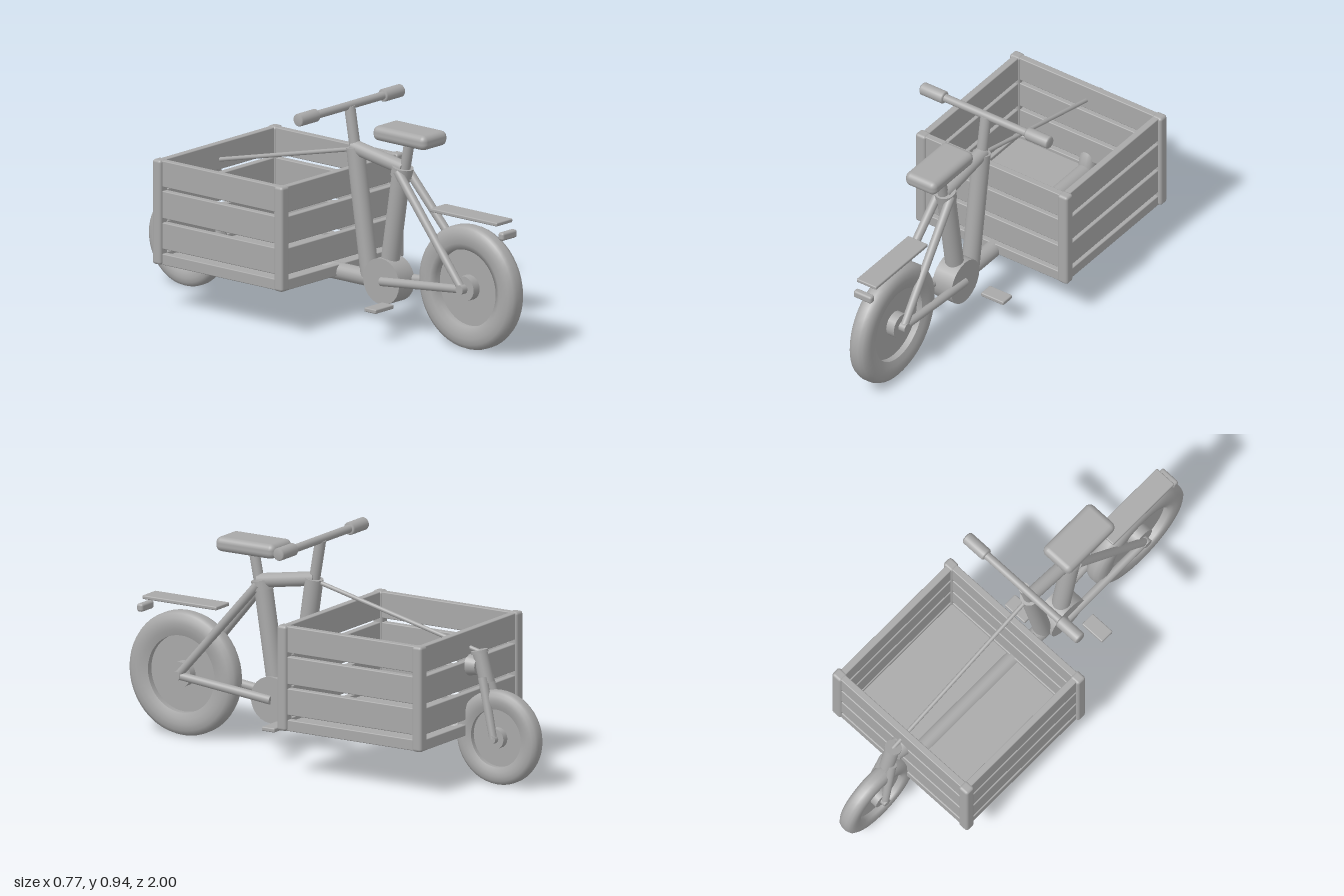
import * as THREE from 'three';
import { RoundedBoxGeometry } from 'three/addons/geometries/RoundedBoxGeometry.js';

export function createModel() {
  const model = new THREE.Group();
  model.name = 'cargoBike';
  const grey = new THREE.MeshStandardMaterial({ color: 0xa8a8a8 });
  grey.name = 'plainGrey';

  const add = (name, geometry, x = 0, y = 0, z = 0, parent = model) => {
    const mesh = new THREE.Mesh(geometry, grey);
    mesh.name = name;
    mesh.position.set(x, y, z);
    parent.add(mesh);
    return mesh;
  };
  const box = (name, w, h, d, x, y, z, radius = 0.006, parent = model) =>
    add(name, new RoundedBoxGeometry(w, h, d, 3, radius), x, y, z, parent);
  // Round bar between two points
  const bar = (name, from, to, rFrom, rTo = rFrom, parent = model) => {
    const a = new THREE.Vector3(...from), b = new THREE.Vector3(...to);
    const dir = b.clone().sub(a);
    const mesh = add(name, new THREE.CylinderGeometry(rTo, rFrom, dir.length(), 24), 0, 0, 0, parent);
    mesh.position.copy(a).add(b).multiplyScalar(0.5);
    mesh.quaternion.setFromUnitVectors(new THREE.Vector3(0, 1, 0), dir.normalize());
    return mesh;
  };

  // Wheels: closed tyre section, thin disc and hub, axle along x
  const wheel = (name, radius, inner, half, hub, z) => {
    const g = new THREE.Group();
    g.name = name;
    g.position.set(0, radius, z);
    const depth = radius - inner;
    const side = [[0, 0.74], [0.25, 0.93], [0.5, 1], [0.75, 0.93], [0.93, 0.68], [1, 0.3]]
      .map(([t, w]) => [inner + depth * t, half * w]);
    const profile = [
      ...side.map(([r, w]) => new THREE.Vector2(r, -w)),
      ...side.slice().reverse().map(([r, w]) => new THREE.Vector2(r, w)),
      new THREE.Vector2(side[0][0], -side[0][1]),
    ];
    add('tyre', new THREE.LatheGeometry(profile, 48), 0, 0, 0, g).rotation.z = Math.PI / 2;
    bar('wheelDisc', [-0.008, 0, 0], [0.008, 0, 0], inner + 0.002, inner + 0.002, g);
    bar('hub', [-half, 0, 0], [half, 0, 0], hub, hub, g);
    model.add(g);
  };
  wheel('driveWheel', 0.262, 0.163, 0.046, 0.053, 0.738);
  wheel('steeringWheel', 0.198, 0.122, 0.038, 0.043, -0.8);

  // Frame
  bar('seatTube', [0, 0.215, 0.285], [0, 0.69, 0.36], 0.039);
  bar('seatCollar', [0, 0.665, 0.358], [0, 0.705, 0.366], 0.045);
  bar('topTube', [0, 0.7, 0.375], [0, 0.745, 0.1], 0.03);
  bar('steeringTube', [0, 0.215, 0.187], [0, 0.745, 0.108], 0.038);
  bar('mainTube', [0, 0.204, 0.29], [0, 0.204, -0.64], 0.036);
  bar('motorDrum', [-0.048, 0.215, 0.29], [0.048, 0.215, 0.29], 0.098);
  bar('braceRod', [0, 0.735, 0.1], [0, 0.545, -0.705], 0.009);
  for (const s of [-1, 1]) {
    bar('seatStay', [s * 0.058, 0.262, 0.738], [s * 0.03, 0.69, 0.365], 0.017, 0.019);
    bar('chainStay', [s * 0.058, 0.262, 0.738], [s * 0.046, 0.215, 0.29], 0.017, 0.019);
    bar('axleNut', [s * 0.04, 0.262, 0.738], [s * 0.076, 0.262, 0.738], 0.02);
  }

  // Saddle, rack and tail lamp
  bar('seatPost', [0, 0.68, 0.375], [0, 0.83, 0.405], 0.022);
  box('saddle', 0.154, 0.062, 0.288, 0, 0.845, 0.405, 0.025);
  box('rack', 0.1, 0.016, 0.365, 0, 0.565, 0.738, 0.005);
  box('tailLamp', 0.09, 0.034, 0.03, 0, 0.516, 0.936, 0.01);

  // Handlebar
  bar('stem', [0, 0.735, 0.108], [0, 0.912, 0.077], 0.023);
  bar('handlebar', [-0.3, 0.915, 0.075], [0.3, 0.915, 0.075], 0.017);
  const gripProfile = [[0, -0.058], [0.022, -0.058], [0.027, -0.052], [0.027, 0.052], [0.022, 0.058], [0, 0.058]]
    .map(([r, y]) => new THREE.Vector2(r, y));
  for (const s of [-1, 1]) {
    add('grip', new THREE.LatheGeometry(gripProfile, 24), s * 0.264, 0.915, 0.075).rotation.z = Math.PI / 2;
    box('pedal', 0.114, 0.018, 0.064, s * 0.144, 0.134, s > 0 ? 0.204 : 0.362, 0.005);
  }

  // Steering fork, with its mount on the crate
  bar('forkHead', [0, 0.545, -0.703], [0, 0.42, -0.738], 0.031);
  bar('forkCap', [0, 0.54, -0.703], [0, 0.552, -0.7], 0.036);
  bar('forkMount', [0, 0.485, -0.655], [0, 0.485, -0.7], 0.046, 0.038);
  for (const s of [-1, 1]) {
    bar('forkLeg', [s * 0.022, 0.445, -0.731], [s * 0.048, 0.198, -0.8], 0.02, 0.016);
    bar('forkNut', [s * 0.035, 0.198, -0.8], [s * 0.062, 0.198, -0.8], 0.018);
  }

  // Crate: floor, corner posts and four rows of slats on each side
  const crate = new THREE.Group();
  crate.name = 'crate';
  model.add(crate);
  const midZ = -0.311;
  box('crateFloor', 0.7, 0.03, 0.64, 0, 0.208, midZ, 0.004, crate);
  for (const sx of [-1, 1])
    for (const sz of [-1, 1])
      box('cornerPost', 0.05, 0.444, 0.046, sx * 0.358, 0.413, midZ + sz * 0.331, 0.012, crate);
  for (const [low, high] of [[0.191, 0.238], [0.258, 0.37], [0.388, 0.504], [0.521, 0.632]]) {
    const y = (low + high) / 2, h = high - low;
    for (const s of [-1, 1]) {
      box('endSlat', 0.7, h, 0.03, 0, y, midZ + s * 0.331, 0.004, crate);
      box('sideSlat', 0.03, h, 0.65, s * 0.354, y, midZ, 0.004, crate);
    }
  }
  return model;
}
